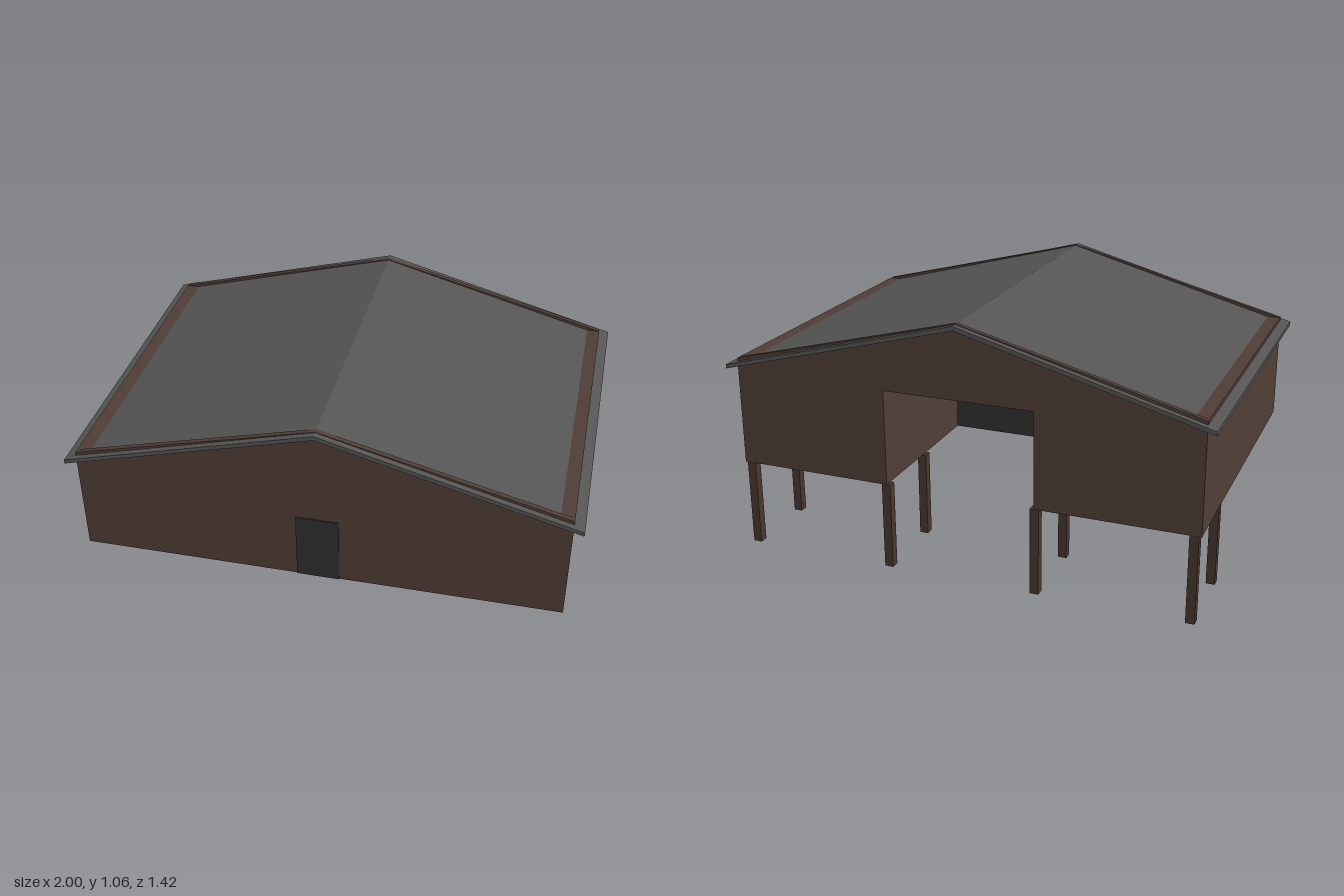
import * as THREE from 'three';

const wallBrown = new THREE.MeshStandardMaterial({ color: 0x503e36 });
const postBrown = new THREE.MeshStandardMaterial({ color: 0x48372f });
const roofGrey = new THREE.MeshStandardMaterial({ color: 0x555555 });
const doorGrey = new THREE.MeshStandardMaterial({ color: 0x303032 });
wallBrown.name = 'wall brown';
postBrown.name = 'post brown';
roofGrey.name = 'roof grey';
doorGrey.name = 'door grey';

const HX = 0.96, HZ = 0.685;      // half size of the walls
const FLOOR = 0.36, EAVE = 0.81;  // heights
const BAY = 0.31, BAY_TOP = 0.755; // half width and height of the rear bay
const T = 0.02;                   // wall thickness

export function createModel() {
  const model = new THREE.Group();

  const add = (name, geometry, material) => {
    const mesh = new THREE.Mesh(geometry, material);
    mesh.name = name;
    model.add(mesh);
    return mesh;
  };
  // box given by its two opposite corners
  const box = (name, material, x0, x1, y0, y1, z0, z1) =>
    add(name, new THREE.BoxGeometry(x1 - x0, y1 - y0, z1 - z0), material)
      .position.set((x0 + x1) / 2, (y0 + y1) / 2, (z0 + z1) / 2);
  // outline in x and y, extruded along z
  const slab = (name, material, points, z0, z1) => {
    const shape = new THREE.Shape(points.map(([x, y]) => new THREE.Vector2(x, y)));
    const geometry = new THREE.ExtrudeGeometry(shape, { depth: z1 - z0, bevelEnabled: false });
    add(name, geometry.translate(0, 0, z0), material);
  };

  // Gable walls, the rear one with a notch for the open bay
  const gable = [[HX, FLOOR], [HX, EAVE], [0, 1.057], [-HX, EAVE], [-HX, FLOOR]];
  const notch = [[-BAY, FLOOR], [-BAY, BAY_TOP], [BAY, BAY_TOP], [BAY, FLOOR]];
  slab('frontWall', wallBrown, gable, HZ - T, HZ);
  slab('backWall', wallBrown, [...gable, ...notch], -HZ, T - HZ);

  // Side walls, bay partitions and floors, mirrored
  for (const s of [-1, 1]) {
    const side = s > 0 ? 'left' : 'right';
    const span = (name, a, b, y0, y1, z) =>
      box(side + name, wallBrown, Math.min(s * a, s * b), Math.max(s * a, s * b), y0, y1, -z, z);
    span('Wall', HX - 0.055, HX, FLOOR, EAVE, HZ - T);
    span('Partition', BAY, BAY + T, FLOOR, 0.92, HZ - T);
    span('Floor', BAY + T, HX - 0.055, FLOOR, FLOOR + T, HZ - T);
  }

  // Bay ceiling and the closing panel halfway in
  box('bayCeiling', roofGrey, -BAY, BAY, BAY_TOP, BAY_TOP + 0.01, T - HZ, 0.01);
  box('bayPanel', doorGrey, -BAY, BAY, FLOOR, BAY_TOP, 0, 0.01);

  // Front door, a thin plate
  box('frontDoor', doorGrey, -0.085, 0.085, FLOOR, 0.645, HZ, HZ + 0.004);

  // Gabled roof
  slab('roof', roofGrey, [
    [1, 0.785], [0, 1.055], [-1, 0.785], [-1, 0.768], [0, 1.037], [1, 0.768],
  ], -0.71, 0.71);

  // Posts under the rear half
  for (const z of [-0.342, -0.668])
    for (const x of [-0.932, -0.313, 0.313, 0.932])
      box('post', postBrown, x - 0.018, x + 0.018, 0, FLOOR, z - 0.018, z + 0.018);

  return model;
}
